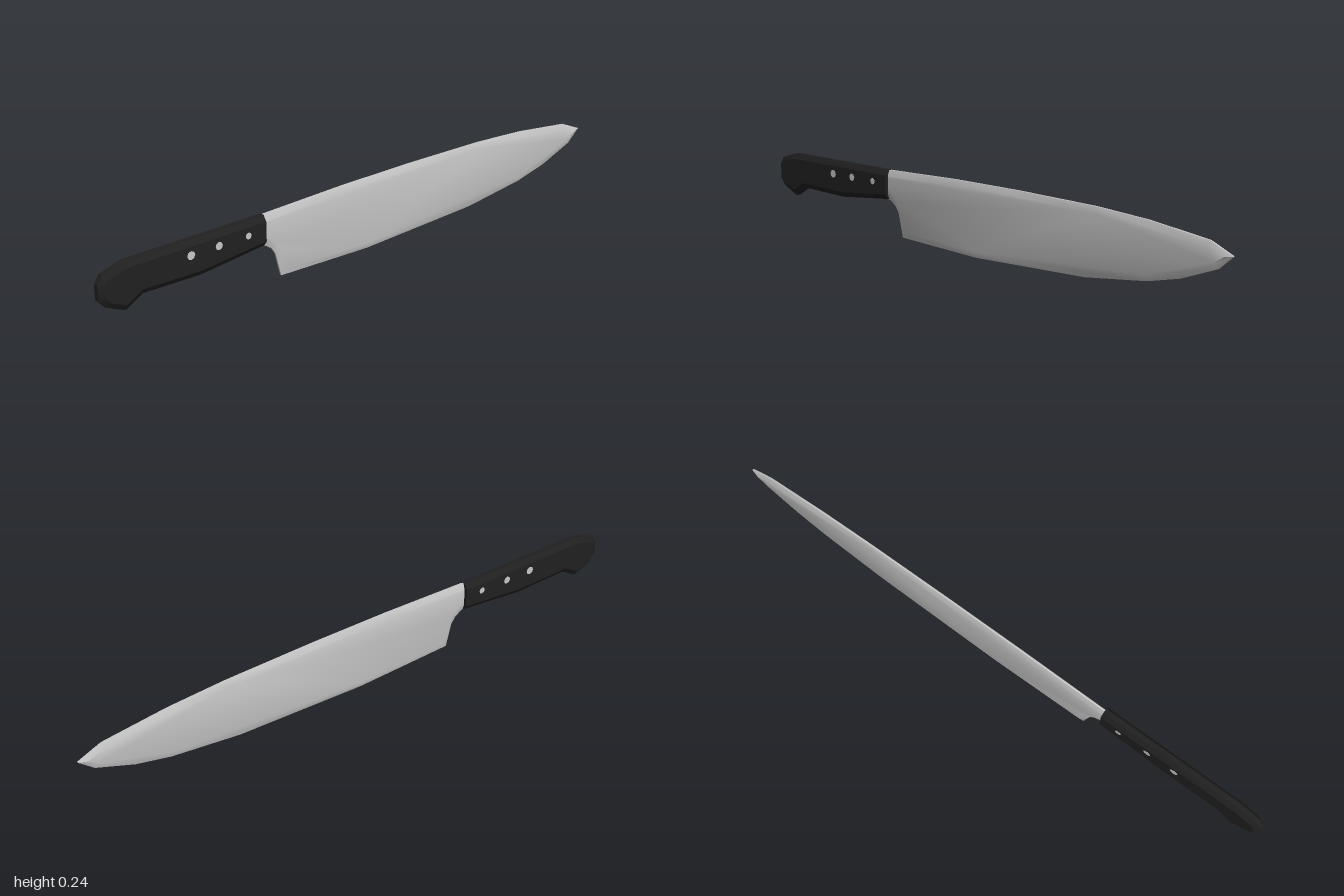
import * as THREE from 'three';
import { toCreasedNormals } from 'three/addons/utils/BufferGeometryUtils.js';

// Side outline of [z, y] points, extruded along x with chamfered rims
function slab(outline, rimWidth, width, inset) {
  const shape = new THREE.Shape(outline.map(([z, y]) => new THREE.Vector2(z, y)));
  const geometry = new THREE.ExtrudeGeometry(shape, {
    depth: rimWidth,
    bevelEnabled: true,
    bevelSegments: 1,
    bevelThickness: (width - rimWidth) / 2,
    bevelSize: inset,
    bevelOffset: -inset,
  });
  geometry.translate(0, 0, -rimWidth / 2);
  geometry.rotateY(-Math.PI / 2);
  return geometry;
}

export function createModel() {
  const steel = new THREE.MeshStandardMaterial({ color: 0xc8c8c8 });
  steel.name = 'steel';
  const black = new THREE.MeshStandardMaterial({ color: 0x202020 });
  black.name = 'black handle';

  const knife = new THREE.Group();
  knife.name = 'kitchenKnife';
  const add = (name, geometry, material) => {
    const mesh = new THREE.Mesh(geometry, material);
    mesh.name = name;
    knife.add(mesh);
    return mesh;
  };

  // Blade: spine, pointed tip, curved edge and notched heel, with a tang inside the handle
  const bladeOutline = [
    [0.47, 0.225], [0.41, 0.237], [0.1, 0.244], [-0.18, 0.244], [-0.5, 0.238], [-0.7, 0.226],
    [-0.92, 0.2], [-1, 0.166], [-0.95, 0.123], [-0.82, 0.074], [-0.7, 0.046], [-0.46, 0.017],
    [0, 0.002], [0.35, 0.015], [0.37, 0.095], [0.385, 0.117], [0.41, 0.134], [0.47, 0.145],
  ];
  add('blade', toCreasedNormals(slab(bladeOutline, 0.006, 0.02, 0.02), 0.5), steel);

  // Handle: chamfered grip with a hooked butt
  const handleOutline = [
    [0.415, 0.237], [0.415, 0.138], [0.65, 0.115], [0.854, 0.12], [0.913, 0.086],
    [0.977, 0.115], [1, 0.142], [1, 0.19], [0.983, 0.217], [0.91, 0.238],
  ];
  const grip = slab(handleOutline, 0.016, 0.04, 0.018);
  // Square off the end that meets the blade
  const p = grip.attributes.position;
  for (let i = 0; i < p.count; i++) if (p.getZ(i) < 0.46) p.setZ(i, 0.415);
  add('handle', toCreasedNormals(grip, 0.5), black);

  // Rivets, almost flush on both sides
  for (const [z, radius] of [[0.69, 0.014], [0.59, 0.013], [0.482, 0.011]]) {
    const rivet = add('rivet', new THREE.CylinderGeometry(radius, radius, 0.0412, 8), steel);
    rivet.rotation.z = Math.PI / 2;
    rivet.position.set(0, 0.192, z);
  }

  return knife;
}
